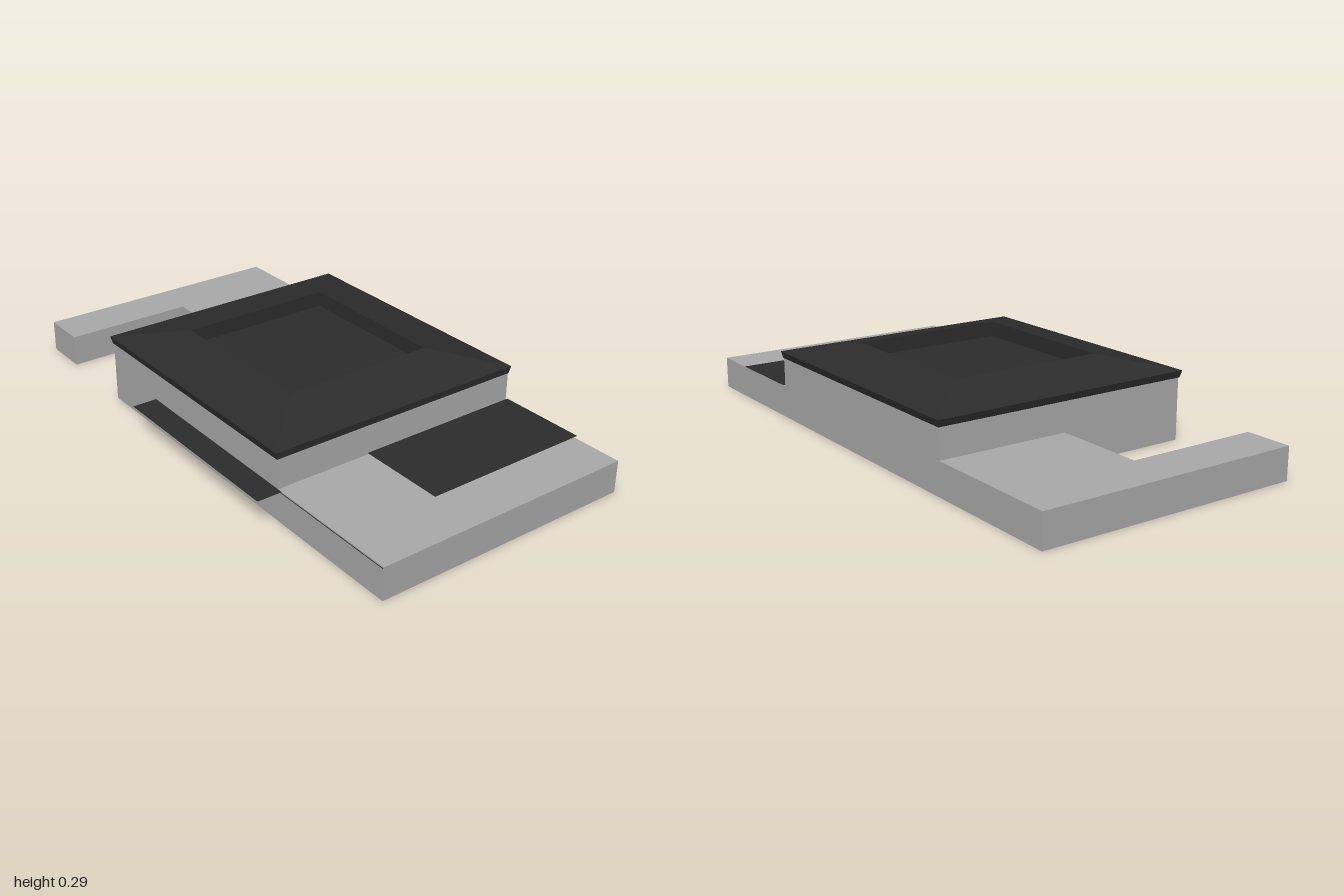
import * as THREE from 'three';

const grey = new THREE.MeshStandardMaterial({ color: 0xa8a8a8, side: THREE.DoubleSide });
grey.name = 'wall grey';
const dark = new THREE.MeshStandardMaterial({ color: 0x2c2c2c, side: THREE.DoubleSide });
dark.name = 'roof charcoal';

// Flat horizontal plate from [x, z] corners, facing up
function plate(name, material, y, points) {
  const shape = new THREE.Shape(points.map(([x, z]) => new THREE.Vector2(x, -z)));
  const mesh = new THREE.Mesh(new THREE.ShapeGeometry(shape).rotateX(-Math.PI / 2), material);
  mesh.position.y = y;
  mesh.name = name;
  return mesh;
}

const rect = (x0, x1, z0, z1) => [[x0, z1], [x1, z1], [x1, z0], [x0, z0]];

// Faceted surface through rings of corners, each ring { y, points }
function loft(name, material, rings, closed = true) {
  const pos = [];
  for (let r = 0; r + 1 < rings.length; r++) {
    const lo = rings[r], hi = rings[r + 1], n = lo.points.length;
    for (let i = 0; i < (closed ? n : n - 1); i++) {
      const j = (i + 1) % n;
      const v = (ring, k) => [ring.points[k][0], ring.y, ring.points[k][1]];
      const a = v(lo, i), b = v(lo, j), c = v(hi, j), d = v(hi, i);
      pos.push(...a, ...b, ...c, ...a, ...c, ...d);
    }
  }
  const geometry = new THREE.BufferGeometry();
  geometry.setAttribute('position', new THREE.Float32BufferAttribute(pos, 3));
  geometry.computeVertexNormals();
  const mesh = new THREE.Mesh(geometry, material);
  mesh.name = name;
  return mesh;
}

const walls = (name, y0, y1, points, closed) =>
  loft(name, grey, [{ y: y0, points }, { y: y1, points }], closed);

export function createModel() {
  const model = new THREE.Group();
  model.name = 'lowBuilding';
  const back = -0.5, front = 0.46, low = 0.115, eave = 0.22;

  // Main hall: walls open at the bottom; the side towards the wing starts above its roof
  const hall = new THREE.Group();
  hall.name = 'mainHall';
  hall.add(
    walls('hallWalls', 0, eave, [[0.5, back], [-0.5, back], [-0.5, front], [0.5, front]], false),
    walls('hallUpperSideWall', low, eave, [[0.5, front], [0.5, back]], false),
    plate('hallCeiling', dark, eave, rect(-0.5, 0.5, back, front)),
  );

  // Hipped roof with a flared eave and a sunken flat centre
  const well = rect(-0.3, 0.29, -0.305, 0.26);
  hall.add(
    loft('hippedRoof', dark, [
      { y: eave, points: rect(-0.503, 0.5, -0.503, 0.463) },
      { y: 0.245, points: rect(-0.51, 0.503, -0.51, 0.468) },
      { y: 0.29, points: well },
      { y: 0.235, points: well },
    ]),
    plate('sunkenRoofFloor', dark, 0.235, well),
  );

  // Left wing with a dark terrace and a dark layer under the rest of its top
  const left = new THREE.Group();
  left.name = 'leftWing';
  left.add(
    walls('leftWingWalls', 0, low, [[0.5, front], [1, front], [1, back], [0.5, back]], false),
    plate('leftWingTop', grey, low, rect(0.5, 1, back, front)),
    plate('leftWingLining', dark, low - 0.004,
      [[0.5, 0.11], [0.5, front + 0.003], [1, front + 0.003], [1, back], [0.82, back], [0.82, 0.11]]),
    plate('terrace', dark, low + 0.005, rect(0.5, 0.82, -0.508, 0.11)),
  );

  // Right wing, L-shaped, with an arm reaching forwards
  const outline = [[-0.5, back], [-1, back], [-1, front - 0.005], [-0.83, front - 0.005], [-0.83, -0.025], [-0.5, -0.025]];
  const right = new THREE.Group();
  right.name = 'rightWing';
  right.add(
    walls('rightWingWalls', 0, low, outline, false),
    plate('rightWingTop', grey, low, outline),
  );

  // Thin awning along the front
  model.add(hall, left, right, plate('frontAwning', dark, low, rect(-0.22, 0.52, front, 0.55)));
  return model;
}
